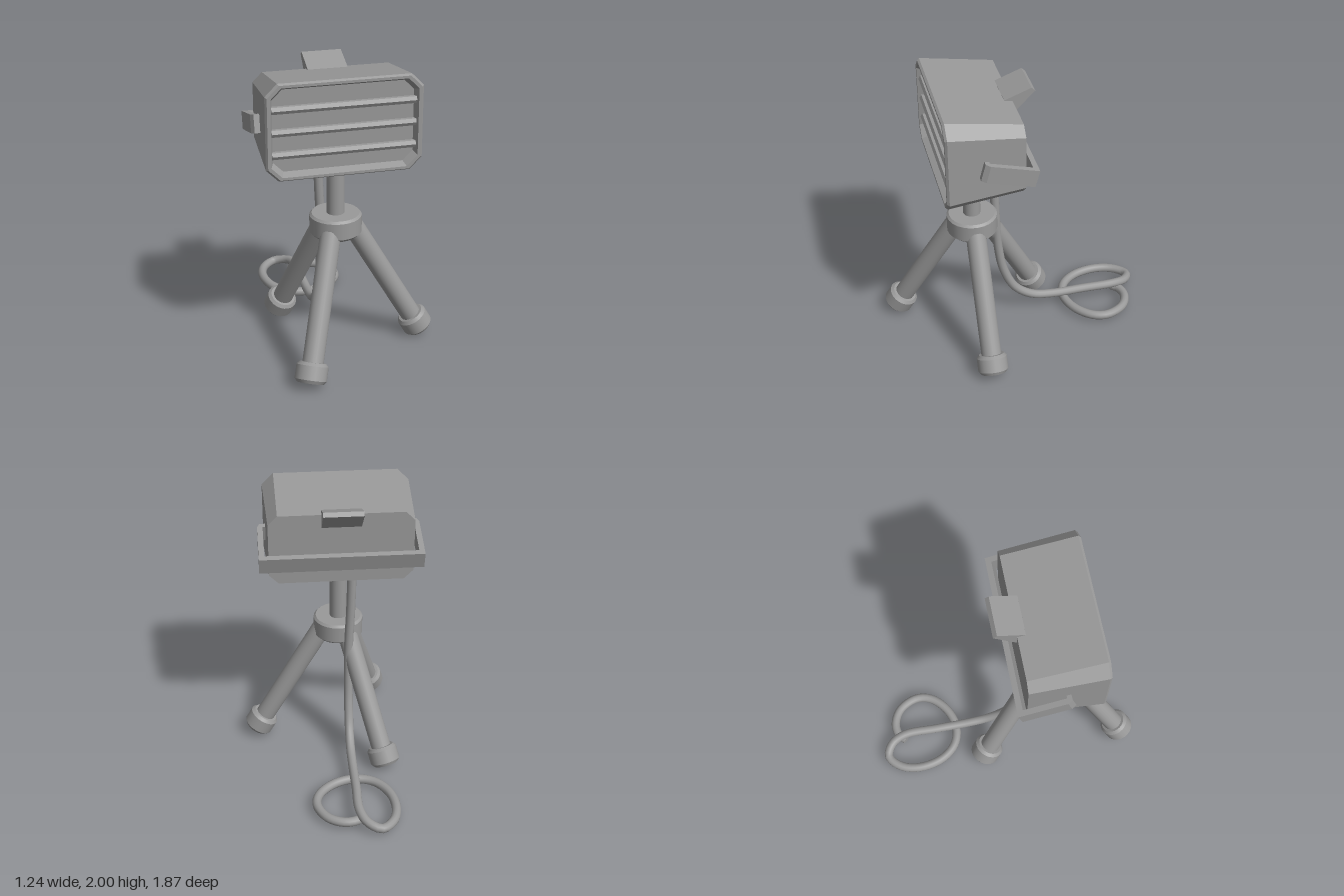
import * as THREE from 'three';

const CX = -0.07; // centre line of head and stand
const CZ = 0.32;  // axis of the stand

const material = new THREE.MeshStandardMaterial({ color: 0x999999 });
const flatMaterial = new THREE.MeshStandardMaterial({ color: 0x999999, flatShading: true });

function mesh(name, geometry, mat = material) {
  const m = new THREE.Mesh(geometry, mat);
  m.name = name;
  return m;
}

// Octagonal cross-section: rectangle with cut corners, counter-clockwise from the front
function octagon({ w, h, c, y, z }) {
  return [
    [w, -h + c], [w, h - c], [w - c, h], [-w + c, h],
    [-w, h - c], [-w, -h + c], [-w + c, -h], [w - c, -h],
  ].map(([px, py]) => [px, py + y, z]);
}

// Join cross-sections from back to front and close both ends
function loft(sections) {
  const rings = sections.map(octagon);
  const n = rings[0].length;
  const pos = [];
  const tri = (a, b, c) => pos.push(...a, ...b, ...c);
  for (let r = 0; r < rings.length - 1; r++) {
    const a = rings[r], b = rings[r + 1];
    for (let i = 0; i < n; i++) {
      const j = (i + 1) % n;
      tri(a[i], a[j], b[j]);
      tri(a[i], b[j], b[i]);
    }
  }
  const back = rings[0], front = rings[rings.length - 1];
  for (let i = 1; i < n - 1; i++) {
    tri(back[0], back[i + 1], back[i]);
    tri(front[0], front[i], front[i + 1]);
  }
  const g = new THREE.BufferGeometry();
  g.setAttribute('position', new THREE.Float32BufferAttribute(pos, 3));
  g.computeVertexNormals();
  return g;
}

// Turned part with crisp edges: each straight run is its own lathe band
function turned(name, profile, segments = 24) {
  const group = new THREE.Group();
  group.name = name;
  for (let i = 0; i < profile.length - 1; i++) {
    const band = [profile[i], profile[i + 1]].map(([r, y]) => new THREE.Vector2(r, y));
    group.add(mesh(name + 'Surface', new THREE.LatheGeometry(band, segments)));
  }
  return group;
}

function createHead() {
  const head = new THREE.Group();
  head.name = 'head';
  head.position.x = CX;

  // Tapered housing with a bevelled rim and a recessed front
  head.add(mesh('housing', loft([
    { w: 0.487, h: 0.25, c: 0.063, y: 1.67, z: 0.06 },
    { w: 0.507, h: 0.32, c: 0.08, y: 1.68, z: 0.56 },
    { w: 0.495, h: 0.31, c: 0.077, y: 1.68, z: 0.575 },
    { w: 0.474, h: 0.293, c: 0.07, y: 1.68, z: 0.575 },
    { w: 0.455, h: 0.27, c: 0.065, y: 1.68, z: 0.525 },
  ]), flatMaterial));

  // Horizontal ribs across the front
  for (const y of [1.527, 1.675, 1.823]) {
    const rib = mesh('frontRib', new THREE.CylinderGeometry(0.026, 0.026, 0.93, 6), flatMaterial);
    rib.rotation.z = Math.PI / 2;
    rib.position.set(0, y, 0.54);
    head.add(rib);
  }

  // Wedge flap on the upper back edge
  const flap = new THREE.Shape([[0.12, 1.90], [0.115, 1.93], [-0.065, 1.998], [-0.09, 1.975], [0.06, 1.825], [0.12, 1.84]]
    .map(([z, y]) => new THREE.Vector2(-z, y)));
  const flapMesh = mesh('rearFlap', new THREE.ExtrudeGeometry(flap, { depth: 0.266, bevelEnabled: false }), flatMaterial);
  flapMesh.rotation.y = Math.PI / 2;
  flapMesh.position.x = -0.133;
  head.add(flapMesh);

  // U-shaped bracket around the back, hooked into both sides
  const half = [[0.515, 0.038], [0.515, 0.325], [0.485, 0.325], [0.485, 0.357],
    [0.535, 0.357], [0.5525, 0.325], [0.5525, 0]];
  const outline = [...half, ...half.map(([x, y]) => [-x, y]).reverse()];
  const bracketGeo = new THREE.ExtrudeGeometry(
    new THREE.Shape(outline.map(([x, y]) => new THREE.Vector2(x, y))),
    { depth: 0.12, bevelEnabled: false });
  bracketGeo.rotateX(Math.PI / 2);
  const bracket = mesh('bracket', bracketGeo, flatMaterial);
  bracket.rotation.x = -THREE.MathUtils.degToRad(15);
  bracket.position.set(0, 1.642, -0.014);
  head.add(bracket);
  return head;
}

function createStand() {
  const stand = new THREE.Group();
  stand.name = 'stand';
  stand.position.set(CX, 0, CZ);

  const pole = mesh('pole', new THREE.CylinderGeometry(0.06, 0.06, 0.55, 24));
  pole.position.y = 1.215;
  stand.add(pole);
  stand.add(turned('hub', [[0, 0.85], [0.155, 0.85], [0.175, 0.87], [0.175, 0.985], [0.16, 1.0], [0, 1.0]]));

  // Three splayed legs, each ending in a bevelled foot
  for (let i = 0; i < 3; i++) {
    const leg = new THREE.Group();
    leg.name = 'leg';
    const tube = mesh('legTube', new THREE.CylinderGeometry(0.07, 0.07, 0.93, 24));
    tube.position.y = 0.535;
    leg.add(tube);
    leg.add(turned('foot', [[0, 0], [0.088, 0], [0.106, 0.022], [0.106, 0.115], [0.088, 0.135], [0, 0.135]]));
    leg.position.set(0.608, 0.043, 0);
    leg.rotation.z = Math.PI / 6;

    const arm = new THREE.Group();
    arm.name = 'legAssembly';
    arm.rotation.y = i * Math.PI * 2 / 3;
    arm.add(leg);
    stand.add(arm);
  }
  return stand;
}

// Cable dropping from the head and coiling on the ground behind
function createCable() {
  const cable = new THREE.Group();
  cable.name = 'cable';
  const path = new THREE.CatmullRomCurve3([
    [-0.15, 1.46, 0.143], [-0.143, 1.15, 0.143], [-0.13, 0.85, 0.138], [-0.128, 0.6, 0.122],
    [-0.127, 0.4, 0.085], [-0.126, 0.22, 0.0], [-0.125, 0.125, -0.13], [-0.125, 0.098, -0.28],
    [-0.125, 0.098, -0.52], [-0.125, 0.098, -0.76], [-0.17, 0.078, -0.865], [-0.26, 0.056, -0.91],
    [-0.35, 0.05, -0.83], [-0.385, 0.05, -0.69], [-0.35, 0.05, -0.52], [-0.26, 0.05, -0.41],
    [-0.13, 0.05, -0.372], [0.02, 0.05, -0.415], [0.13, 0.05, -0.52], [0.155, 0.05, -0.63],
    [0.09, 0.05, -0.765], [-0.02, 0.05, -0.82], [-0.11, 0.05, -0.805], [-0.155, 0.05, -0.76],
  ].map(p => new THREE.Vector3(...p)), false, 'centripetal');
  const radius = 0.032;
  cable.add(mesh('cableTube', new THREE.TubeGeometry(path, 120, radius, 12)));

  const cap = mesh('cableEnd', new THREE.CircleGeometry(radius, 12));
  const end = path.getPoint(1);
  cap.position.copy(end);
  cap.lookAt(end.clone().add(path.getTangent(1)));
  cable.add(cap);
  return cable;
}

export function createModel() {
  const model = new THREE.Group();
  model.name = 'tripodDevice';
  model.add(createHead(), createStand(), createCable());
  return model;
}
